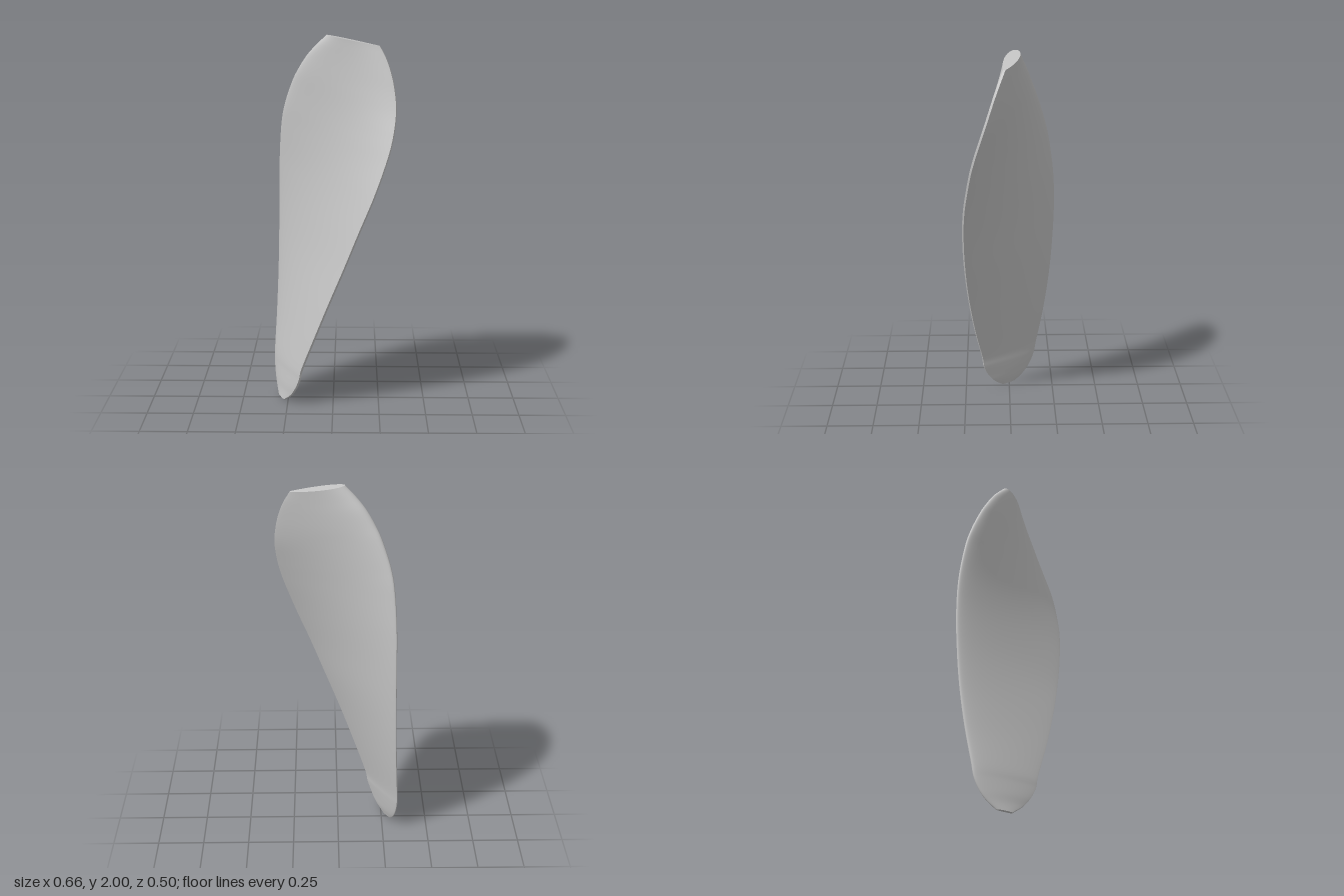
import * as THREE from 'three';

// Stations from root (top) to tip (bottom):
// left edge x,y,z | right edge x,y,z | front bulge, back bulge
const stations = [
  [-0.035, 2.0, -0.03, 0.243, 1.947, 0.032, 0.031, 0.038],
  [-0.09, 1.947, -0.053, 0.278, 1.88, 0.06, 0.034, 0.042],
  [-0.142, 1.887, -0.08, 0.305, 1.8, 0.09, 0.037, 0.045],
  [-0.187, 1.815, -0.108, 0.322, 1.71, 0.12, 0.04, 0.045],
  [-0.223, 1.74, -0.138, 0.328, 1.62, 0.15, 0.042, 0.041],
  [-0.266, 1.61, -0.181, 0.314, 1.5, 0.188, 0.042, 0.034],
  [-0.286, 1.49, -0.212, 0.284, 1.38, 0.216, 0.041, 0.027],
  [-0.298, 1.29, -0.242, 0.217, 1.19, 0.244, 0.037, 0.019],
  [-0.301, 1.088, -0.25, 0.139, 1.0, 0.25, 0.033, 0.014],
  [-0.304, 0.872, -0.242, 0.06, 0.8, 0.242, 0.029, 0.013],
  [-0.309, 0.657, -0.224, -0.021, 0.6, 0.223, 0.026, 0.011],
  [-0.317, 0.444, -0.194, -0.098, 0.4, 0.193, 0.023, 0.009],
  [-0.327, 0.25, -0.157, -0.165, 0.22, 0.156, 0.02, 0.007],
  [-0.328, 0.17, -0.142, -0.181, 0.15, 0.146, 0.019, 0.006],
  [-0.322, 0.1, -0.113, -0.204, 0.09, 0.122, 0.017, 0.005],
  [-0.314, 0.05, -0.078, -0.23, 0.042, 0.087, 0.012, 0.004],
  [-0.304, 0.009, -0.035, -0.268, 0.0, 0.04, 0.006, 0.003],
];

const spline = (pick) => new THREE.CatmullRomCurve3(stations.map(pick), false, 'catmullrom', 0.5);
const leftEdge = spline((s) => new THREE.Vector3(s[0], s[1], s[2]));
const rightEdge = spline((s) => new THREE.Vector3(s[3], s[4], s[5]));
const bulge = spline((s) => new THREE.Vector3(s[6], s[7], 0));
const spanAxis = new THREE.Vector3(0.195, 0.98, 0).normalize();

// Point on the blade: u runs root to tip, v left to right, side +1 front / -1 back
function bladePoint(u, v, side) {
  const l = leftEdge.getPoint(u);
  const r = rightEdge.getPoint(u);
  const b = bulge.getPoint(u);
  const t = (1 - Math.cos(Math.PI * v)) / 2;
  const normal = r.clone().sub(l).cross(spanAxis).normalize();
  // rounded leading edge on the left, blunt trailing edge on the right
  const round = (Math.sqrt(t) * Math.pow(Math.max(0, 1 - t), 0.9)) / 0.402;
  const edge = 0.001 + 0.005 * t;
  const offset = side * (edge + (side > 0 ? b.x : b.y) * round);
  return l.lerp(r, t).addScaledVector(normal, offset);
}

// Grid surface from a point rule
function grid(rows, cols, point) {
  const pos = [];
  const index = [];
  for (let i = 0; i <= rows; i++) {
    for (let j = 0; j <= cols; j++) pos.push(...point(i / rows, j / cols).toArray());
  }
  for (let i = 0; i < rows; i++) {
    for (let j = 0; j < cols; j++) {
      const a = i * (cols + 1) + j;
      const b = a + cols + 1;
      index.push(a, b, a + 1, b, b + 1, a + 1);
    }
  }
  const g = new THREE.BufferGeometry();
  g.setAttribute('position', new THREE.Float32BufferAttribute(pos, 3));
  g.setIndex(index);
  g.computeVertexNormals();
  return g;
}

export function createModel() {
  const group = new THREE.Group();
  group.name = 'propellerBlade';
  const grey = new THREE.MeshStandardMaterial({ color: 0xc4c4c4 });
  grey.name = 'light grey';
  const add = (name, geometry) => {
    const mesh = new THREE.Mesh(geometry, grey);
    mesh.name = name;
    group.add(mesh);
  };
  const rows = 128;
  const cols = 40;

  // Pressure and suction faces
  add('frontFace', grid(rows, cols, (u, v) => bladePoint(u, v, 1)));
  add('backFace', grid(rows, cols, (u, v) => bladePoint(u, 1 - v, -1)));

  // Thin edge strips joining the two faces
  add('leadingEdge', grid(rows, 1, (u, v) => bladePoint(u, 0, v * 2 - 1)));
  add('trailingEdge', grid(rows, 1, (u, v) => bladePoint(u, 1, 1 - v * 2)));

  // Flat cuts closing the root and the tip
  add('rootCap', grid(1, cols, (w, v) => bladePoint(0, v, w * 2 - 1)));
  add('tipCap', grid(1, cols, (w, v) => bladePoint(1, v, 1 - w * 2)));
  return group;
}
